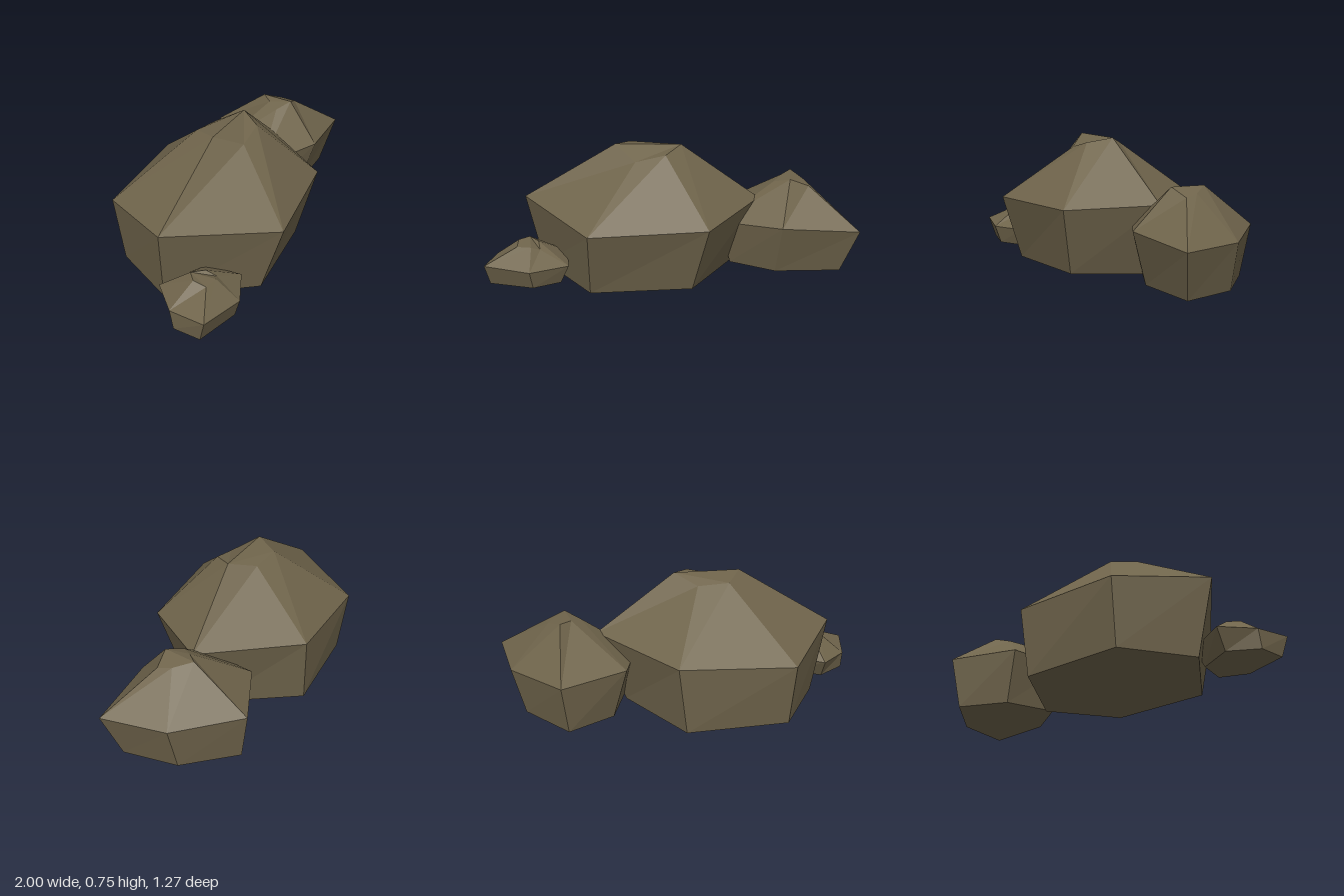
import * as THREE from 'three';

// Faceted boulder from three rings of corners (counter-clockwise seen from above):
// base, widest shoulder and small uneven crown.
function boulder(name, rings, capStart, material) {
  const n = rings[0].length;
  const points = [];
  const index = [];
  for (const ring of rings) for (const p of ring) points.push(...p);

  // side facets
  for (let r = 0; r < rings.length - 1; r++) {
    for (let i = 0; i < n; i++) {
      const j = (i + 1) % n;
      const a = r * n + i, b = r * n + j, c = b + n, d = a + n;
      index.push(a, b, c, a, c, d);
    }
  }
  // crown and underside, each a fan from one corner
  const top = (rings.length - 1) * n;
  for (let k = 1; k < n - 1; k++) {
    const p = (capStart + k) % n, q = (capStart + k + 1) % n;
    index.push(top + capStart, top + p, top + q);
    index.push(0, k + 1, k);
  }

  const indexed = new THREE.BufferGeometry();
  indexed.setAttribute('position', new THREE.Float32BufferAttribute(points, 3));
  indexed.setIndex(index);
  const geometry = indexed.toNonIndexed();
  geometry.computeVertexNormals();
  const mesh = new THREE.Mesh(geometry, material);
  mesh.name = name;
  return mesh;
}

// Base ring at one height from x, z pairs
const flat = (y, pairs) => pairs.map(([x, z]) => [x, y, z]);

export function createModel() {
  const group = new THREE.Group();
  group.name = 'rockCluster';
  const stone = new THREE.MeshStandardMaterial({ color: 0x6f644b });
  stone.name = 'brownStone';
  stone.flatShading = true;

  // Large central boulder
  group.add(boulder('largeBoulder', [
    flat(0, [[-0.82, 0.18], [-0.41, 0.5], [0.12, 0.3], [0.235, -0.13], [-0.18, -0.45], [-0.72, -0.24]]),
    [[-0.89, 0.435, 0.24], [-0.37, 0.38, 0.615], [0.23, 0.38, 0.36],
      [0.4, 0.415, -0.14], [-0.14, 0.4, -0.485], [-0.75, 0.37, -0.28]],
    [[-0.375, 0.755, 0.125], [-0.23, 0.685, 0.21], [-0.07, 0.722, 0.16],
      [-0.02, 0.75, 0.02], [-0.17, 0.71, -0.06], [-0.34, 0.73, -0.03]],
  ], 3, stone));

  // Medium boulder behind on the left
  group.add(boulder('mediumBoulder', [
    flat(0.015, [[0.53, -0.02], [0.89, -0.13], [0.75, -0.41], [0.45, -0.58], [0.25, -0.37], [0.25, -0.08]]),
    [[0.58, 0.315, 0.065], [0.995, 0.28, -0.09], [0.82, 0.28, -0.42],
      [0.465, 0.305, -0.635], [0.17, 0.31, -0.37], [0.19, 0.28, -0.04]],
    [[0.58, 0.54, -0.14], [0.68, 0.495, -0.19], [0.64, 0.51, -0.26],
      [0.55, 0.54, -0.33], [0.51, 0.53, -0.25], [0.48, 0.51, -0.17]],
  ], 0, stone));

  // Small stone in front on the right
  group.add(boulder('smallStone', [
    flat(0.035, [[-0.88, 0.3], [-0.995, 0.44], [-0.965, 0.595], [-0.71, 0.59], [-0.59, 0.48], [-0.67, 0.33]]),
    [[-0.9, 0.15, 0.24], [-1, 0.14, 0.42], [-0.975, 0.155, 0.635],
      [-0.71, 0.14, 0.625], [-0.54, 0.14, 0.48], [-0.62, 0.15, 0.3]],
    [[-0.81, 0.25, 0.38], [-0.85, 0.25, 0.44], [-0.83, 0.235, 0.51],
      [-0.75, 0.235, 0.5], [-0.71, 0.215, 0.47], [-0.74, 0.245, 0.42]],
  ], 0, stone));

  return group;
}
